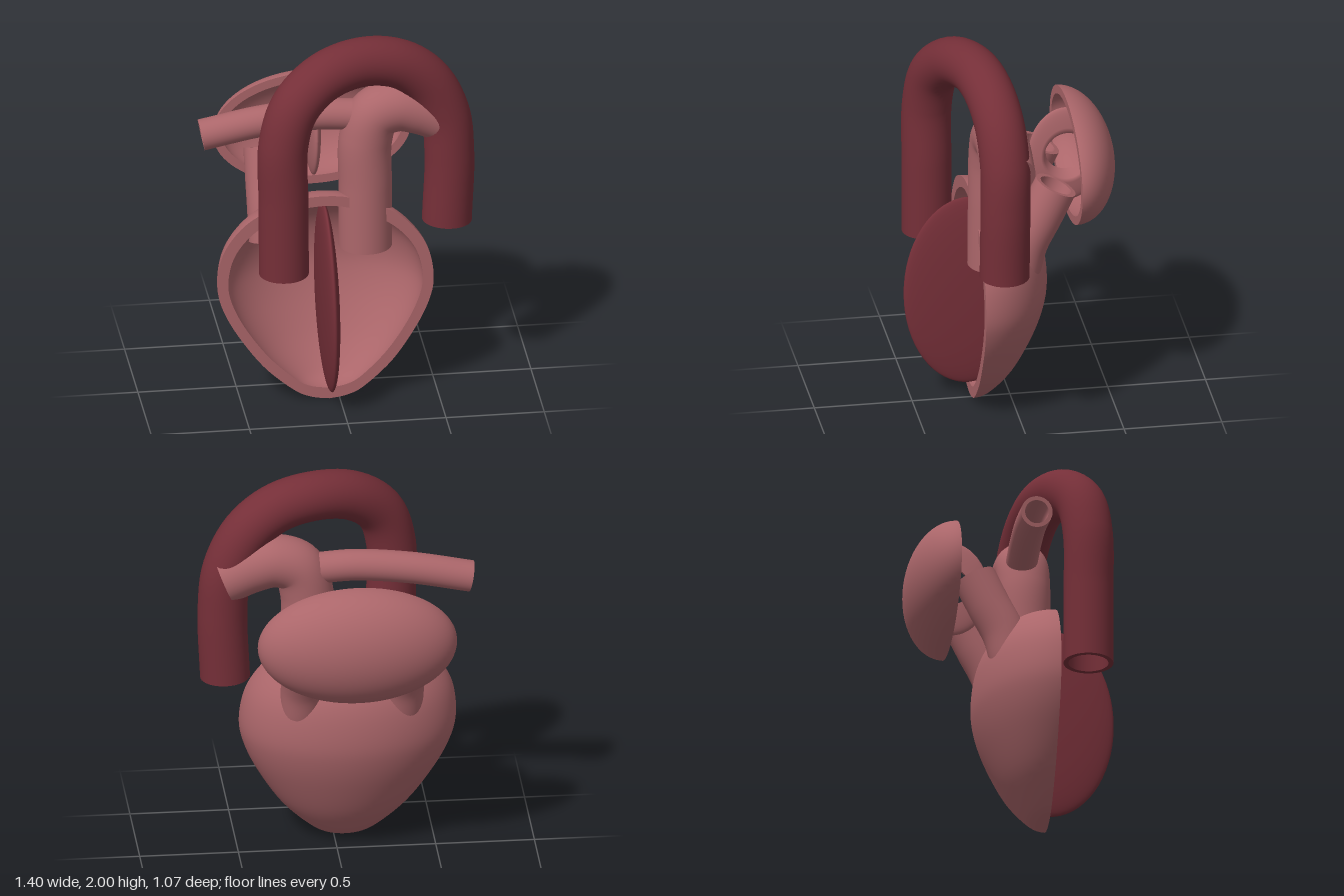
import * as THREE from 'three';

const pale = new THREE.MeshStandardMaterial({ color: 0xab666a, side: THREE.DoubleSide });
pale.name = 'pale muscle';
const dark = new THREE.MeshStandardMaterial({ color: 0x752f38, side: THREE.DoubleSide });
dark.name = 'dark red';

// Hollow pipe along a smooth path, with a ring closing the wall at both ends
function pipe(name, points, radius, wall, material) {
  const group = new THREE.Group();
  group.name = name;
  const path = new THREE.CatmullRomCurve3(points.map(p => new THREE.Vector3(...p)), false, 'centripetal');
  for (const r of [radius, radius - wall]) {
    const tube = new THREE.Mesh(new THREE.TubeGeometry(path, 72, r, 40), material);
    tube.name = r === radius ? 'outerWall' : 'innerWall';
    group.add(tube);
  }
  for (const t of [0, 1]) {
    const ring = new THREE.Mesh(new THREE.RingGeometry(radius - wall, radius, 40), material);
    const direction = path.getTangent(t).multiplyScalar(t ? 1 : -1);
    ring.name = 'endRing';
    ring.position.copy(path.getPoint(t));
    ring.quaternion.setFromUnitVectors(new THREE.Vector3(0, 0, 1), direction);
    group.add(ring);
  }
  return group;
}

// Hollow half shell, open towards +z, from an outer and an inner profile
function halfShell(name, outer, inner, depth, lean = 0) {
  const group = new THREE.Group();
  group.name = name;
  const mirrored = pts => [...pts, ...pts.slice(1, -1).reverse().map(p => new THREE.Vector2(-p.x, p.y))];
  const rim = new THREE.Shape(mirrored(outer));
  rim.holes.push(new THREE.Path(mirrored(inner)));
  const parts = {
    outerWall: new THREE.LatheGeometry(outer, 48, Math.PI / 2, Math.PI),
    innerWall: new THREE.LatheGeometry([...inner].reverse(), 48, Math.PI / 2, Math.PI),
    rim: new THREE.ShapeGeometry(rim),
  };
  for (const [part, geometry] of Object.entries(parts)) {
    const p = geometry.attributes.position;
    for (let i = 0; i < p.count; i++) p.setX(i, p.getX(i) + lean * (0.6 - p.getY(i)));
    const mesh = new THREE.Mesh(geometry, pale);
    mesh.name = part;
    group.add(mesh);
  }
  group.scale.z = depth;
  return group;
}

const spline = pts => new THREE.SplineCurve(pts.map(p => new THREE.Vector2(...p))).getPoints(64)
  .map(p => new THREE.Vector2(Math.max(0, p.x), p.y));

const halfEllipse = (a, b) => Array.from({ length: 41 }, (_, i) => {
  const t = Math.PI * (i / 40 - 0.5);
  return new THREE.Vector2(Math.max(0, a * Math.cos(t)), b * Math.sin(t));
});

// Thin lens in the y-z plane with a round hole through it
function piercedLens(height, depth, thick, hole) {
  const around = 64, across = 20, pos = [], index = [];
  for (let i = 0; i <= around; i++) {
    const t = (i / around) * Math.PI * 2;
    const R = 1 / Math.hypot(Math.cos(t) / depth, Math.sin(t) / height);
    const limit = Math.acos(hole / R);
    for (let j = 0; j <= across; j++) {
      const a = limit * (2 * (j % across) / across - 1);
      const r = R * Math.cos(a);
      pos.push(thick * Math.sin(a), r * Math.sin(t), r * Math.cos(t));
      if (i < around && j < across) {
        const k = i * (across + 1) + j, n = k + across + 1;
        index.push(k, k + 1, n, k + 1, n + 1, n);
      }
    }
  }
  const geometry = new THREE.BufferGeometry();
  geometry.setAttribute('position', new THREE.Float32BufferAttribute(pos, 3));
  geometry.setIndex(index);
  geometry.computeVertexNormals();
  return geometry;
}

export function createModel() {
  const model = new THREE.Group();
  model.name = 'heart';

  // Lower chamber, an egg-shaped half shell
  const ventricles = halfShell('ventricleShell',
    spline([[0, 0], [0.09, 0.015], [0.18, 0.06], [0.33, 0.2], [0.46, 0.39], [0.53, 0.54], [0.55, 0.66],
      [0.53, 0.8], [0.475, 0.91], [0.38, 1.01], [0.25, 1.08], [0.11, 1.125], [0, 1.135]]),
    spline([[0, 0.06], [0.09, 0.075], [0.17, 0.12], [0.3, 0.25], [0.41, 0.41], [0.475, 0.55], [0.495, 0.66],
      [0.475, 0.78], [0.425, 0.875], [0.34, 0.96], [0.22, 1.03], [0.1, 1.07], [0, 1.08]]),
    0.71, 0.03);
  ventricles.position.set(-0.07, 0, 0.2);
  model.add(ventricles);

  // Thin wall dividing the lower chamber
  const septum = new THREE.Mesh(new THREE.SphereGeometry(1, 48, 32), dark);
  septum.name = 'ventricleDivider';
  septum.scale.set(0.048, 0.512, 0.333);
  septum.position.set(-0.064, 0.57, 0.2);
  septum.rotation.z = 0.025;
  model.add(septum);

  // Upper chamber behind, with its pierced divider
  const atria = halfShell('atriumShell', halfEllipse(0.505, 0.312), halfEllipse(0.46, 0.267), 0.465);
  atria.position.set(-0.073, 1.278, -0.3);
  model.add(atria);
  const divider = new THREE.Mesh(piercedLens(0.258, 0.195, 0.037, 0.1), pale);
  divider.name = 'atriumDivider';
  divider.position.set(-0.073, 1.288, -0.3);
  model.add(divider);

  // Two passages between the chambers
  for (const x of [-0.325, 0.18]) {
    model.add(pipe('chamberPassage',
      [[x, 1.235, -0.205], [x, 1.08, -0.13], [x, 0.93, -0.055], [x, 0.8, -0.02]], 0.11, 0.025, pale));
  }

  // Large arched artery
  model.add(pipe('archedArtery',
    [[-0.308, 0.805, 0.375], [-0.31, 1.2, 0.375], [-0.31, 1.52, 0.372], [-0.25, 1.71, 0.345], [-0.1, 1.835, 0.275],
      [0.105, 1.875, 0.2], [0.3, 1.835, 0.155], [0.45, 1.72, 0.127], [0.545, 1.53, 0.115],
      [0.569, 1.3, 0.118], [0.556, 0.932, 0.12]], 0.126, 0.025, dark));

  // Trunk artery bending left, and its thinner right branch
  model.add(pipe('trunkArtery',
    [[0.143, 0.81, 0.105], [0.143, 1.15, 0.102], [0.145, 1.4, 0.1], [0.19, 1.53, 0.098], [0.3, 1.573, 0.096],
      [0.42, 1.55, 0.096], [0.565, 1.49, 0.098]], 0.135, 0.025, pale));
  model.add(pipe('branchArtery',
    [[0.08, 1.53, 0.083], [-0.1, 1.54, 0.078], [-0.38, 1.515, 0.07], [-0.687, 1.455, 0.067]], 0.08, 0.02, pale));

  return model;
}
